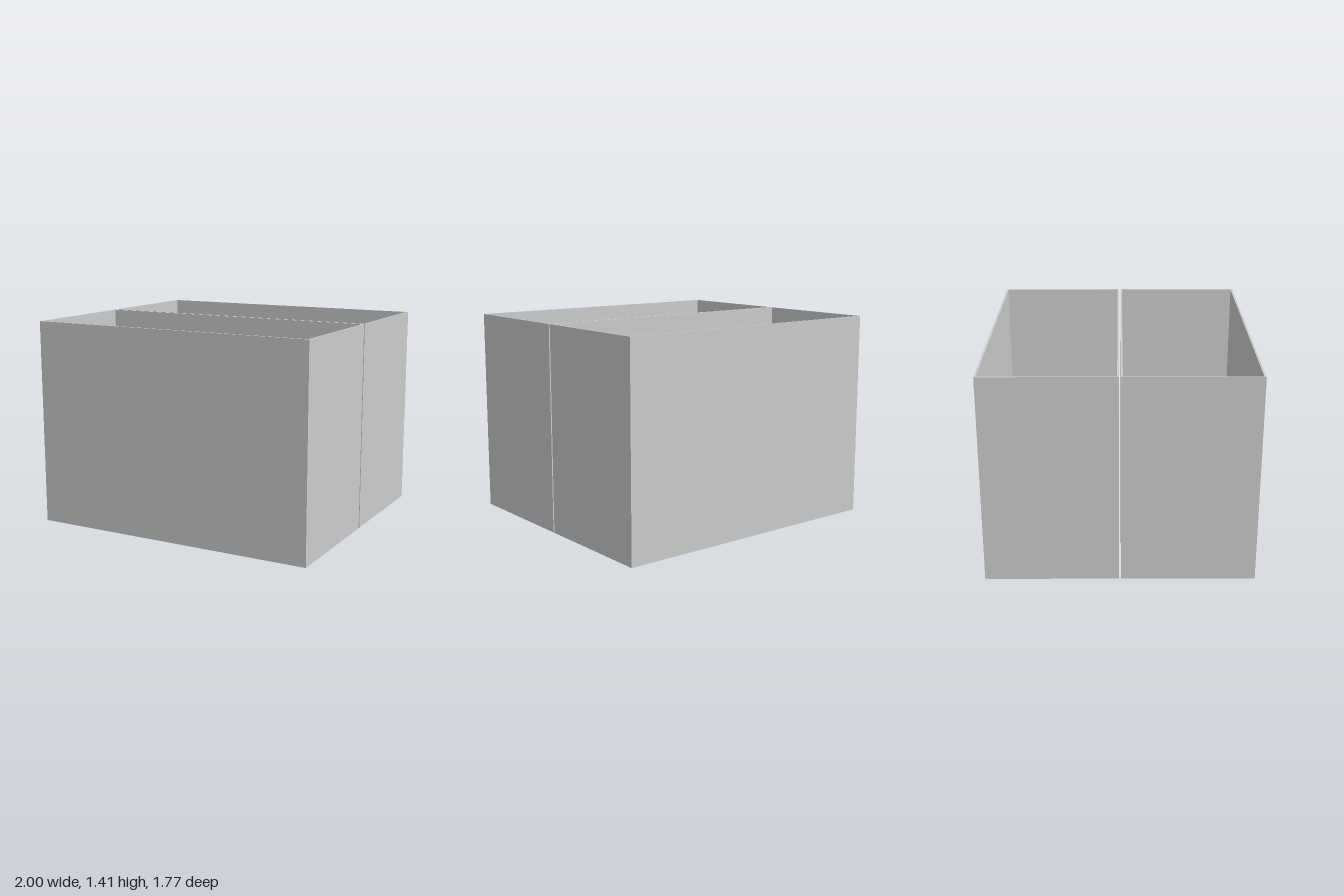
import * as THREE from 'three';

const H = 1.41;                       // wall height
const X = 1, T = 0.013;               // half length, wall thickness
const Z0 = 0.006, Z1 = 0.885;         // depth range of one room
const IX = X - T, IZ0 = Z0 + T - 0.002, IZ1 = Z1 - T;
const BLOCK = { x: 0.06, z: 0.48, h: 0.5 };
const PLINTH = { x: -0.56, h: 0.3 };
const BASIN = { x0: -0.93, x1: -0.62, z0: 0.077, z1: 0.815, y: 0.03 };
const OPENING_TOP = 1.06;

const mat = new THREE.MeshStandardMaterial({ color: 0xcccccc, side: THREE.DoubleSide });

function add(group, name, geometry) {
  const mesh = new THREE.Mesh(geometry, mat);
  mesh.name = name;
  group.add(mesh);
  return mesh;
}

function box(group, name, x0, x1, y0, y1, z0, z1) {
  add(group, name, new THREE.BoxGeometry(x1 - x0, y1 - y0, z1 - z0))
    .position.set((x0 + x1) / 2, (y0 + y1) / 2, (z0 + z1) / 2);
}

function polygon(points) {
  return points.map(([a, b]) => new THREE.Vector2(a, b));
}

const rect = (a0, a1, b0, b1) => polygon([[a0, b0], [a1, b0], [a1, b1], [a0, b1]]);

// Horizontal sheet from an (x, z) outline, with an optional hole
function sheet(group, name, y, outline, hole) {
  const shape = new THREE.Shape(outline);
  if (hole) shape.holes.push(new THREE.Path(hole));
  add(group, name, new THREE.ShapeGeometry(shape).rotateX(Math.PI / 2).translate(0, y, 0));
}

// Upright sheet across x
function sheetX(group, name, x, y0, y1, z0, z1) {
  add(group, name, new THREE.PlaneGeometry(z1 - z0, y1 - y0).rotateY(Math.PI / 2))
    .position.set(x, (y0 + y1) / 2, (z0 + z1) / 2);
}

// Upright sheet across z
function sheetZ(group, name, z, y0, y1, x0, x1) {
  add(group, name, new THREE.PlaneGeometry(x1 - x0, y1 - y0))
    .position.set((x0 + x1) / 2, (y0 + y1) / 2, z);
}

function createRoom() {
  const room = new THREE.Group();

  // Outer walls
  box(room, 'outerWall', -X, X, 0, H, IZ1, Z1);
  for (const s of [-1, 1]) {
    const a = s * IX, b = s * X;
    box(room, 'endWall', Math.min(a, b), Math.max(a, b), 0, H, IZ0, IZ1);
  }

  // Inner wall with the opening above the block
  const wall = new THREE.Shape(rect(-X, X, 0, H));
  wall.holes.push(new THREE.Path(rect(BLOCK.x, IX, BLOCK.h, OPENING_TOP)));
  add(room, 'innerWall', new THREE.ExtrudeGeometry(wall, { depth: IZ0 - Z0, bevelEnabled: false }))
    .position.z = Z0;

  // Floor, left open under the block and the plinth
  sheet(room, 'floor', 0, polygon([
    [PLINTH.x, IZ0], [BLOCK.x, IZ0], [BLOCK.x, BLOCK.z],
    [IX, BLOCK.z], [IX, IZ1], [PLINTH.x, IZ1],
  ]));

  // Hollow block against the inner wall
  sheet(room, 'blockTop', BLOCK.h, rect(BLOCK.x, IX, IZ0, BLOCK.z));
  sheetX(room, 'blockEnd', BLOCK.x, 0, BLOCK.h, IZ0, BLOCK.z);
  sheetZ(room, 'blockSide', BLOCK.z, 0, BLOCK.h, BLOCK.x, IX);

  // Hollow plinth with a sunken basin
  const { x0, x1, z0, z1, y } = BASIN;
  sheet(room, 'plinthTop', PLINTH.h, rect(-IX, PLINTH.x, IZ0, IZ1), rect(x0, x1, z0, z1));
  sheetX(room, 'plinthFront', PLINTH.x, 0, PLINTH.h, IZ0, IZ1);
  sheet(room, 'basinBottom', y, rect(x0, x1, z0, z1));
  for (const x of [x0, x1]) sheetX(room, 'basinSide', x, y, PLINTH.h, z0, z1);
  for (const z of [z0, z1]) sheetZ(room, 'basinEnd', z, y, PLINTH.h, x0, x1);

  return room;
}

export function createModel() {
  const model = new THREE.Group();
  // Two mirrored rooms with a narrow gap between them
  for (const s of [1, -1]) {
    const room = createRoom();
    room.name = s > 0 ? 'frontRoom' : 'backRoom';
    room.scale.z = s;
    model.add(room);
  }
  return model;
}
